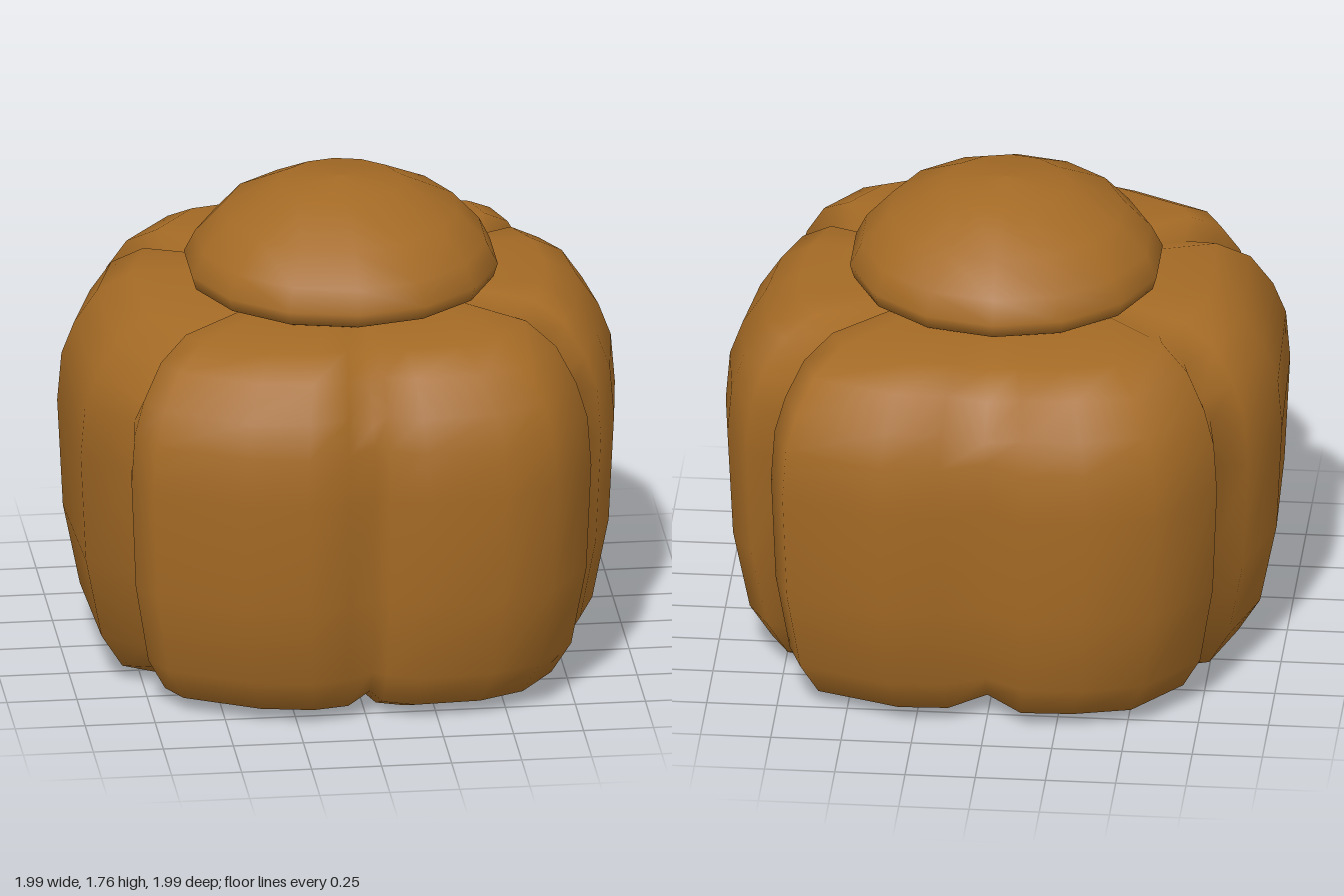
import * as THREE from 'three';
import { mergeVertices } from 'three/addons/utils/BufferGeometryUtils.js';

// Six-lobed plan outline (x, z), from the back groove round by +x
const OUTLINE = [
  [0, -.91], [.16, -.98], [.37, -.99], [.72, -.87], [.775, -.71],
  [.735, -.565], [.88, -.52], [.96, -.37], [.99, -.1], [.95, .22], [.88, .42],
  [.775, .47], [.815, .68], [.67, .88], [.48, .965], [.2, .98], [.07, .93],
  [.02, .89], [-.08, .96], [-.23, .99], [-.45, .95], [-.76, .79], [-.825, .67],
  [-.81, .53], [-.975, .4], [-.995, -.15], [-.9, -.455],
  [-.78, -.485], [-.81, -.68], [-.61, -.93], [-.37, -.99], [-.15, -1],
];
const GROOVES = [0, 5, 11, 17, 23, 27];

// Vertical profile of the body: [outline scale, y]
const PROFILE = [
  [0, .03], [.45, .015], [.7, .015], [.84, .07], [.92, .2], [.98, .5],
  [1, .9], [.985, 1.08], [.94, 1.2], [.86, 1.32], [.74, 1.39], [.5, 1.4], [0, 1.38],
];

function bodyGeometry() {
  const positions = [], index = [], n = OUTLINE.length;
  for (const [scale, y] of PROFILE) {
    OUTLINE.forEach(([x, z], j) => {
      // Grooves pull the rounded top down and the base up
      const groove = GROOVES.includes(j) ? scale : 0;
      const dip = y > 1.1 ? -.06 * groove : y < .15 ? .035 * groove : 0;
      positions.push(x * scale, y + dip, z * scale);
    });
  }
  for (let i = 0; i < PROFILE.length - 1; i++) {
    for (let j = 0; j < n; j++) {
      const a = i * n + j, b = i * n + (j + 1) % n;
      const c = a + n, d = b + n;
      if (i > 0) index.push(b, a, c);
      else index.push(a, c, d);
      if (i > 0 && i < PROFILE.length - 2) index.push(b, c, d);
    }
  }
  // Base fan faces down with the same turn as the rings
  for (let j = 0; j < n; j++) {
    index[j * 3] = j;
    index[j * 3 + 1] = n + j;
    index[j * 3 + 2] = n + (j + 1) % n;
  }
  let geometry = new THREE.BufferGeometry();
  geometry.setAttribute('position', new THREE.Float32BufferAttribute(positions, 3));
  geometry.setIndex(index);
  geometry = mergeVertices(geometry);
  geometry.computeVertexNormals();
  return geometry;
}

function capGeometry() {
  const points = [
    [0, 1.36], [.45, 1.37], [.545, 1.41], [.56, 1.46], [.52, 1.54],
    [.42, 1.65], [.22, 1.75], [0, 1.775],
  ].map(([x, y]) => new THREE.Vector2(x, y));
  return new THREE.LatheGeometry(points, 14);
}

export function createModel() {
  const crust = new THREE.MeshStandardMaterial({ color: 0xa46a25 });
  crust.name = 'golden brown crust';
  const group = new THREE.Group();
  group.name = 'lobedBun';

  // Fluted body
  const body = new THREE.Mesh(bodyGeometry(), crust);
  body.name = 'lobedBody';

  // Rounded knob on top
  const cap = new THREE.Mesh(capGeometry(), crust);
  cap.name = 'domedTop';

  group.add(body, cap);
  return group;
}
